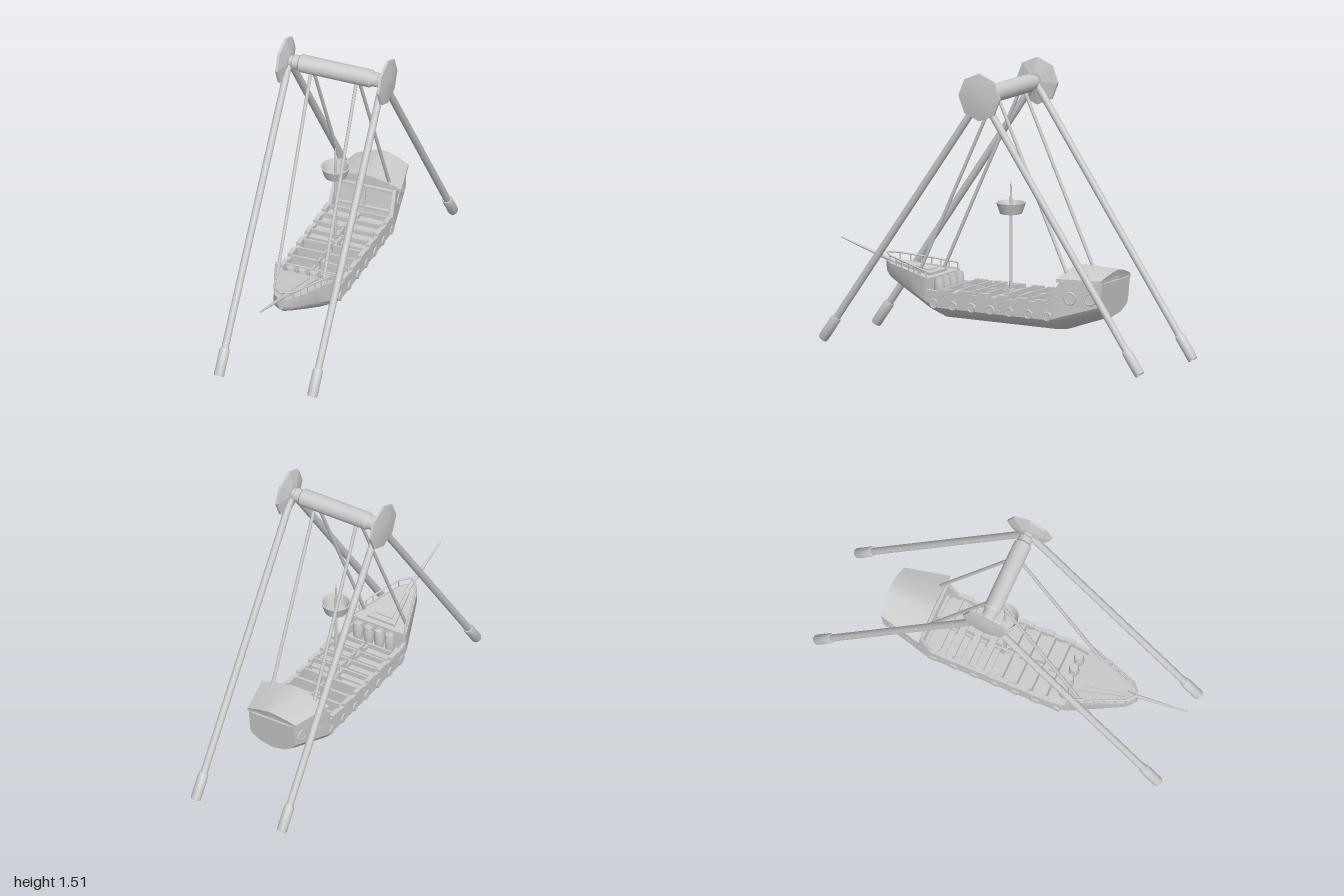
import * as THREE from 'three';
import { toCreasedNormals } from 'three/addons/utils/BufferGeometryUtils.js';

const grey = new THREE.MeshStandardMaterial({ color: 0xcccccc });
const thin = new THREE.MeshStandardMaterial({ color: 0xcccccc, side: THREE.DoubleSide });
const V = (x, y, z) => new THREE.Vector3(x, y, z);

function add(parent, name, geometry, x = 0, y = 0, z = 0, material = grey) {
  const mesh = new THREE.Mesh(geometry, material);
  mesh.name = name;
  mesh.position.set(x, y, z);
  parent.add(mesh);
  return mesh;
}
const box = (parent, name, w, h, d, x, y, z) => add(parent, name, new THREE.BoxGeometry(w, h, d), x, y, z);

// Point an object's +y axis along a direction
const aim = (mesh, dir) => mesh.quaternion.setFromUnitVectors(V(0, 1, 0), dir.clone().normalize());

// Round rod from a to b
function rod(parent, name, a, b, ra, rb = ra, sides = 12) {
  const dir = b.clone().sub(a), mid = a.clone().add(b).multiplyScalar(0.5);
  const mesh = add(parent, name, new THREE.CylinderGeometry(rb, ra, dir.length(), sides), mid.x, mid.y, mid.z);
  aim(mesh, dir);
  return mesh;
}

const lathe = (points, sides) => toCreasedNormals(
  new THREE.LatheGeometry(points.map(p => new THREE.Vector2(...p)), sides), 0.6);

// Skin closed rings (clockwise seen from +z, ordered front to back) and cap both ends
function loft(rings, crease = 0.5) {
  const n = rings[0].length, pos = [], idx = [];
  rings.forEach(r => r.forEach(p => pos.push(p.x, p.y, p.z)));
  for (let i = 0; i < rings.length - 1; i++) for (let j = 0; j < n; j++) {
    const a = i * n + j, b = i * n + (j + 1) % n;
    idx.push(a, b, b + n, a, b + n, a + n);
  }
  [0, rings.length - 1].forEach((i, end) => {
    const c = rings[i].reduce((s, p) => s.add(p), V(0, 0, 0)).divideScalar(n);
    const ci = pos.push(c.x, c.y, c.z) / 3 - 1;
    for (let j = 0; j < n; j++) {
      const a = i * n + j, b = i * n + (j + 1) % n;
      end ? idx.push(ci, a, b) : idx.push(ci, b, a);
    }
  });
  const g = new THREE.BufferGeometry();
  g.setAttribute('position', new THREE.Float32BufferAttribute(pos, 3));
  g.setIndex(idx);
  return toCreasedNormals(g.toNonIndexed(), crease);
}

// Hull cross-section: outer skin, gunwale and inner deck
function hullRing([z, hw, keel, body, top, deck, rake = 0]) {
  const h = body - keel, inner = hw * 0.9;
  const half = [[inner, deck], [inner, top], [hw, top], [hw, keel + 0.45 * h],
    [hw * 0.9, keel + 0.3 * h], [hw * 0.55, keel + 0.1 * h]];
  const at = ([x, y]) => V(x, y, z - rake * (y - keel));
  return [...half.map(at), at([0, keel]), ...half.reverse().map(([x, y]) => at([-x, y]))];
}

// Arched slab ring: rise over a base height, with an arched or flat underside
function archRing(z, hw, base, rise, under, bulge = 0) {
  const us = Array.from({ length: 13 }, (_, i) => i / 6 - 1);
  const pt = (u, y) => V(u * hw, y, z - bulge * (1 - u * u));
  const arch = u => rise * (1 - Math.pow(Math.abs(u), 1.5));
  return [...us.map(u => pt(u, base + arch(u))), ...us.reverse().map(u => pt(u, under(arch(u))))];
}

function porthole(parent, x, y, z, r, turn) {
  const g = new THREE.Group();
  g.name = 'porthole';
  g.position.set(x, y, z);
  g.rotation.y = turn;
  add(g, 'portholeRing', new THREE.TorusGeometry(r, 0.006, 8, 20));
  add(g, 'portholeGlass', new THREE.CylinderGeometry(r, r, 0.008, 20)).rotation.x = Math.PI / 2;
  parent.add(g);
}

function createFrame() {
  const frame = new THREE.Group();
  frame.name = 'supportFrame';
  const Y = 1.382, Z = -0.02;
  // Axle with stepped ends
  const axle = add(frame, 'axle', lathe([[0.03, -0.28], [0.03, -0.24], [0.038, -0.235], [0.038, -0.205], [0.047, -0.195],
    [0.047, 0.195], [0.038, 0.205], [0.038, 0.235], [0.03, 0.24], [0.03, 0.28]], 20), 0, Y, Z);
  axle.rotation.z = Math.PI / 2;
  const sleeve = lathe([[0, 0.025], [0.017, 0.025], [0.019, 0], [0.025, 0], [0.027, 0.008],
    [0.027, 0.135], [0.023, 0.147], [0.017, 0.147]], 16);
  for (const s of [-1, 1]) {
    // Octagonal hub plate, thickest at the middle
    const hub = add(frame, 'hubPlate', new THREE.LatheGeometry([[0, -0.03], [0.045, -0.03], [0.125, -0.009], [0.125, 0.004],
      [0.06, 0.014], [0, 0.016]].map(p => new THREE.Vector2(...p)), 8), s * 0.286, Y, Z);
    hub.geometry = toCreasedNormals(hub.geometry, 0.2);
    hub.rotation.z = -s * Math.PI / 2;
    // Splayed legs with socketed feet
    for (const foot of [V(s * 0.26, 0.022, 0.945), V(s * 0.26, 0.016, -0.979)]) {
      const top = V(s * 0.26, Y, Z), dir = top.clone().sub(foot).normalize();
      rod(frame, 'leg', foot.clone().addScaledVector(dir, 0.03), top, 0.019, 0.019, 16);
      aim(add(frame, 'legFoot', sleeve, foot.x, foot.y, foot.z, thin), dir);
    }
  }
  return frame;
}

function createShip() {
  const ship = new THREE.Group();
  ship.name = 'swingShip';
  ship.position.x = -0.008;
  // Hull stations: z, half width, keel, body top, gunwale, deck, stern rake
  add(ship, 'hull', loft([
    [0.715, 0.015, 0.35, 0.415, 0.418, 0.414], [0.675, 0.057, 0.322, 0.408, 0.412, 0.406],
    [0.52, 0.118, 0.245, 0.385, 0.395, 0.387], [0.4, 0.164, 0.19, 0.35, 0.38, 0.372],
    [0.385, 0.167, 0.184, 0.34, 0.378, 0.37], [0.383, 0.167, 0.184, 0.34, 0.318, 0.27],
    [0.3, 0.178, 0.155, 0.32, 0.315, 0.27], [-0.37, 0.18, 0.155, 0.32, 0.318, 0.27],
    [-0.415, 0.176, 0.17, 0.335, 0.41, 0.27], [-0.437, 0.172, 0.178, 0.342, 0.445, 0.44],
    [-0.65, 0.135, 0.25, 0.4, 0.445, 0.44, 0.1]].map(hullRing)));

  // Cabin gable, roof and front window frame
  const flat = () => 0.43;
  add(ship, 'cabinGable', loft([archRing(-0.436, 0.168, 0.44, 0.04, flat), archRing(-0.655, 0.132, 0.44, 0.04, flat, 0.012)]));
  const under = a => 0.438 + a;
  add(ship, 'cabinRoof', loft([archRing(-0.43, 0.202, 0.456, 0.042, under), archRing(-0.665, 0.146, 0.456, 0.042, under, 0.017)]));
  for (const x of [-0.15, 0, 0.15]) box(ship, 'windowPost', 0.014, 0.165, 0.02, x, 0.355, -0.422).rotation.x = -0.12;
  for (const y of [0.315, 0.43]) box(ship, 'windowBeam', 0.31, 0.014, 0.022, 0, y, -0.42 - (y - 0.355) * 0.12);

  // Benches in two halves: seat and backrest
  for (let i = 0; i < 8; i++) for (const s of [-1, 1]) {
    const z = -0.335 + i * 0.083 + (i > 3 ? 0.02 : 0), face = i < 4 ? 1 : -1;
    box(ship, 'benchSeat', 0.148, 0.012, 0.036, s * 0.081, 0.302, z + face * 0.02);
    box(ship, 'benchBack', 0.148, 0.065, 0.01, s * 0.081, 0.302, z);
    box(ship, 'benchEnd', 0.01, 0.06, 0.045, s * 0.012, 0.298, z + face * 0.02);
  }

  // Portholes and raised gunwale blocks along both sides
  for (const s of [-1, 1]) {
    for (let i = 0; i < 7; i++) {
      const z = 0.33 - i * 0.115;
      porthole(ship, s * (i ? 0.179 : 0.174), 0.248, z, 0.021, s * Math.PI / 2);
      if (i < 6) box(ship, 'gunwaleBlock', 0.024, 0.022, 0.068, s * 0.171, 0.32, z - 0.075);
    }
    porthole(ship, s * 0.163, 0.352, -0.49, 0.03, s * (Math.PI / 2 + 0.17));
    porthole(ship, s * 0.144, 0.355, -0.6, 0.03, s * (Math.PI / 2 + 0.17));
    // Hanging arms
    rod(ship, 'hangingArm', V(s * 0.127, 0.38, 0.455), V(s * 0.127, 1.382, -0.02), 0.009);
    rod(ship, 'hangingArm', V(s * 0.127, 0.44, -0.465), V(s * 0.127, 1.382, -0.02), 0.009);
  }

  // Barrels behind the foredeck
  const barrel = lathe([[0, 0], [0.021, 0], [0.027, 0.03], [0.027, 0.07], [0.022, 0.102], [0.018, 0.102], [0.018, 0.097], [0, 0.097]], 16);
  for (let i = 0; i < 4; i++) add(ship, 'barrel', barrel, -0.096 + i * 0.064, 0.272, 0.345);

  // Foredeck hatch
  const hatch = (z, hw, y) => [V(-hw, y, z), V(hw, y, z), V(hw, y - 0.03, z), V(-hw, y - 0.03, z)];
  add(ship, 'foredeckHatch', loft([hatch(0.66, 0.022, 0.417), hatch(0.41, 0.085, 0.387)]));
  add(ship, 'hatchPanel', loft([hatch(0.64, 0.012, 0.421), hatch(0.44, 0.05, 0.397)]));

  // Foredeck railing
  const edge = [[0.39, 0.158, 0.378], [0.52, 0.112, 0.395], [0.675, 0.052, 0.411], [0.712, 0.012, 0.417]];
  for (const s of [-1, 1]) {
    const base = edge.map(([z, x, y]) => V(s * x, y, z));
    const lift = p => V(p.x, p.y + 0.03 + (p.z - 0.39) * 0.03, p.z);
    for (let k = 0; k < 3; k++) {
      rod(ship, 'foredeckRail', lift(base[k]), lift(base[k + 1]), 0.005, 0.005, 8);
      for (let t = 0; t < (k < 2 ? 3 : 1); t++) {
        const p = base[k].clone().lerp(base[k + 1], t / 3);
        rod(ship, 'railPost', p, lift(p), 0.004, 0.004, 8);
      }
    }
  }
  rod(ship, 'railFront', V(-0.012, 0.457, 0.712), V(0.012, 0.457, 0.712), 0.005, 0.005, 8);
  rod(ship, 'bowsprit', V(0, 0.405, 0.66), V(0, 0.507, 1), 0.012, 0.004);

  // Mast with lookout basket
  const mz = -0.03;
  rod(ship, 'mastCollar', V(0, 0.27, mz), V(0, 0.335, mz), 0.022, 0.018);
  rod(ship, 'mast', V(0, 0.27, mz), V(0, 0.8, mz), 0.009, 0.008);
  rod(ship, 'mastTip', V(0, 0.8, mz), V(0, 0.9, mz), 0.007, 0.003);
  add(ship, 'lookoutBasket', lathe([[0, 0], [0.058, 0], [0.078, 0.058], [0.07, 0.058], [0.052, 0.01], [0, 0.01]], 16), 0, 0.73, mz);
  return ship;
}

export function createModel() {
  const model = new THREE.Group();
  model.name = 'swingingShipRide';
  model.add(createFrame(), createShip());
  return model;
}
